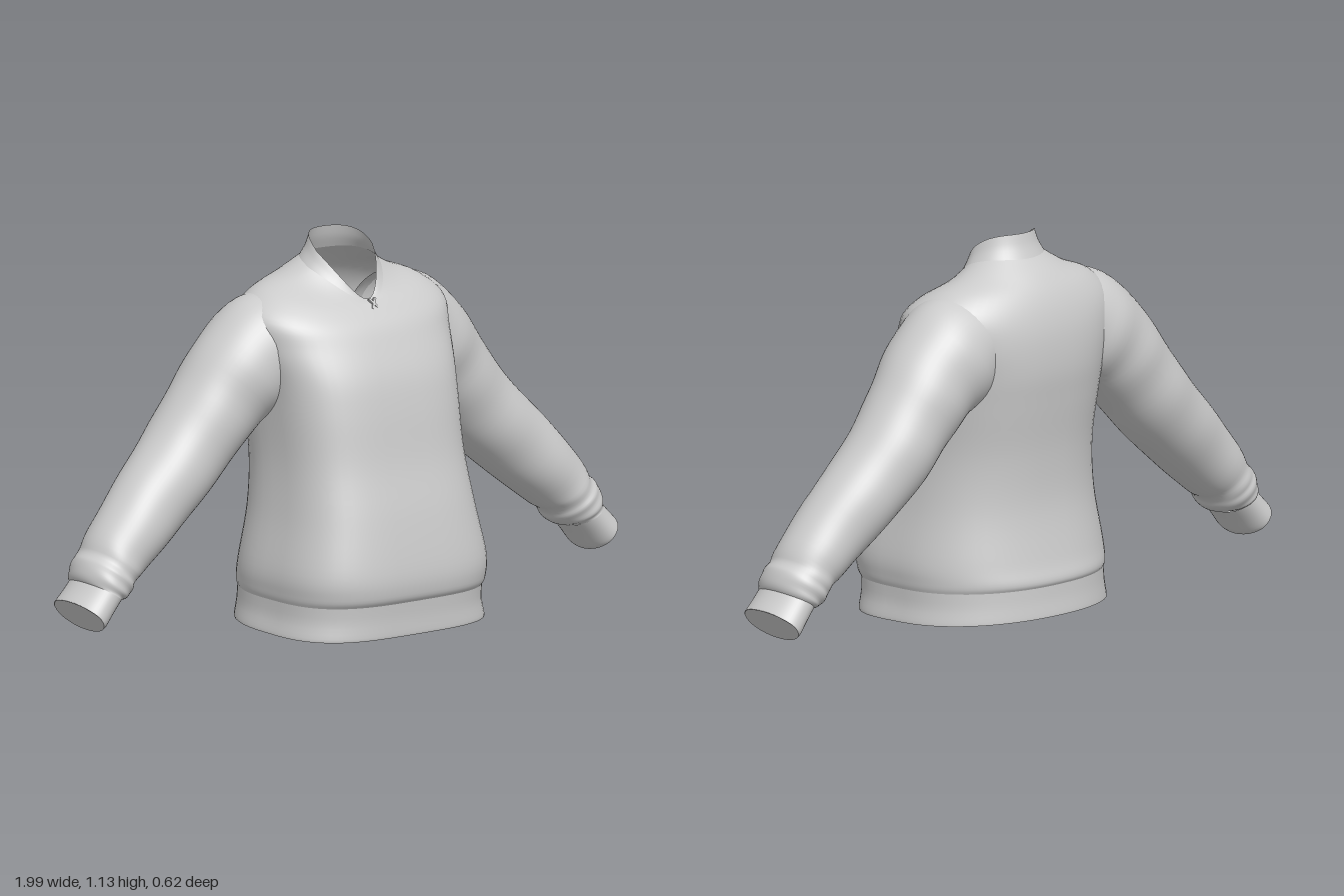
import * as THREE from 'three';

const SEG = 56;
const material = new THREE.MeshStandardMaterial({ color: 0xcccccc, side: THREE.DoubleSide });

// Smoothly resample a list of number rows (Catmull-Rom through every column)
function refine(rows, steps) {
  const out = [];
  const at = (i) => rows[Math.min(Math.max(i, 0), rows.length - 1)];
  for (let i = 0; i < rows.length - 1; i++) {
    for (let k = 0; k < steps; k++) {
      const t = k / steps;
      out.push(rows[i].map((p1, c) => {
        const p0 = at(i - 1)[c], p2 = at(i + 1)[c], p3 = at(i + 2)[c];
        return p1 + 0.5 * t * (p2 - p0 + t * (2 * p0 - 5 * p1 + 4 * p2 - p3 + t * (3 * (p1 - p2) + p3 - p0)));
      }));
    }
  }
  out.push(rows[rows.length - 1]);
  return out;
}

// Skin a stack of closed rings, optionally closing the first one
function loft(name, rings, cap = false) {
  const pos = rings.flat(2), index = [];
  for (let i = 0; i < rings.length - 1; i++) {
    for (let j = 0; j < SEG; j++) {
      const a = i * SEG + j, b = i * SEG + (j + 1) % SEG;
      index.push(a, b, a + SEG, b, b + SEG, a + SEG);
    }
  }
  if (cap) {
    const base = pos.length / 3;
    const centre = [0, 1, 2].map((c) => rings[0].reduce((s, p) => s + p[c], 0) / SEG);
    pos.push(...rings[0].flat(), ...centre);
    for (let j = 0; j < SEG; j++) index.push(base + SEG, base + (j + 1) % SEG, base + j);
  }
  const geometry = new THREE.BufferGeometry();
  geometry.setAttribute('position', new THREE.Float32BufferAttribute(pos, 3));
  geometry.setIndex(index);
  geometry.computeVertexNormals();
  const mesh = new THREE.Mesh(geometry, material);
  mesh.name = name;
  return mesh;
}

// Body ring: heights at front, side and back, half width, front and back z,
// squareness of the front and back halves, and how far the front narrows to a point
function bodyRing([yf, ys, yb, hw, zf, zb, nf, nb, point]) {
  return Array.from({ length: SEG }, (_, j) => {
    const a = (j / SEG) * Math.PI * 2;
    const n = Math.cos(a) > 0 ? nf : nb;
    const bend = (v) => Math.sign(v) * Math.abs(v) ** (2 / n);
    const c = bend(Math.cos(a)), s = bend(Math.sin(a));
    return [
      hw * s * (1 - point * Math.max(0, c)),
      ys + c * (yf - yb) / 2 + c * c * ((yf + yb) / 2 - ys),
      (zf + zb) / 2 + c * (zf - zb) / 2,
    ];
  });
}

// Rings across an arm path; rows are x, y, z, radius in the front plane, radius in z
function armRings(rows, side, wrinkle) {
  return rows.map(([x, y, z, r, rz], i) => {
    const p = rows[Math.max(i - 1, 0)], q = rows[Math.min(i + 1, rows.length - 1)];
    const t = new THREE.Vector2((q[0] - p[0]) * side, q[1] - p[1]).normalize();
    return Array.from({ length: SEG }, (_, j) => {
      const a = (j / SEG) * Math.PI * 2;
      const fold = 1 + wrinkle * Math.sin(i * 1.1 + 2 * Math.sin(a)) * Math.sin(a) ** 2;
      const u = Math.cos(a) * r * fold, v = Math.sin(a) * rz * fold;
      return [x * side - t.y * u, y + t.x * u, z + v];
    });
  });
}

export function createModel() {
  const model = new THREE.Group();
  model.name = 'sweater';

  // Body from the hem seam up over the shoulders to the collar seam
  const body = [
    [0.105, 0.11, 0.12, 0.34, 0.297, -0.302, 3.3, 2.25, 0],
    [0.13, 0.135, 0.14, 0.345, 0.31, -0.308, 3.3, 2.25, 0],
    [0.2, 0.2, 0.2, 0.345, 0.312, -0.292, 3.3, 2.3, 0],
    [0.35, 0.35, 0.35, 0.316, 0.286, -0.266, 3.2, 2.4, 0],
    [0.5, 0.5, 0.5, 0.3, 0.25, -0.268, 3.2, 2.4, 0],
    [0.65, 0.65, 0.65, 0.302, 0.226, -0.287, 3.1, 2.5, 0],
    [0.75, 0.75, 0.75, 0.312, 0.203, -0.299, 2.9, 2.5, 0],
    [0.84, 0.84, 0.84, 0.335, 0.165, -0.297, 2.5, 2.4, 0],
    [0.89, 0.925, 0.91, 0.345, 0.138, -0.284, 2.2, 2.2, 0],
    [0.925, 0.982, 0.97, 0.282, 0.107, -0.26, 2.1, 2.1, 0],
    [0.945, 1.015, 1.02, 0.19, 0.085, -0.225, 2, 2, 0.1],
    [0.95, 1.045, 1.065, 0.128, 0.073, -0.178, 2, 2, 0.25],
  ];
  model.add(loft('body', refine(body, 5).map(bodyRing)));

  // Ribbed hem band, slightly lower in front and closed underneath
  const hem = [
    [0.005, 0.014, 0.03, 0.352, 0.29, -0.309, 3.4, 2.2, 0],
    [0.015, 0.025, 0.04, 0.351, 0.292, -0.309, 3.4, 2.2, 0],
    [0.06, 0.065, 0.08, 0.342, 0.293, -0.304, 3.3, 2.25, 0],
    [0.105, 0.11, 0.12, 0.34, 0.297, -0.302, 3.3, 2.25, 0],
  ];
  model.add(loft('hem', refine(hem, 3).map(bodyRing), true));

  // Standing collar that dips to a V at the front
  const collar = [
    [0.95, 1.045, 1.065, 0.128, 0.073, -0.178, 2, 2, 0.25],
    [0.952, 1.065, 1.1, 0.113, 0.068, -0.162, 2, 2, 0.3],
    [0.955, 1.09, 1.135, 0.102, 0.06, -0.152, 2, 2, 0.32],
  ];
  model.add(loft('collar', refine(collar, 4).map(bodyRing)));

  // Small stitch at the bottom of the V
  for (const turn of [-0.6, 0.6]) {
    const stitch = new THREE.Mesh(new THREE.BoxGeometry(0.007, 0.04, 0.008), material);
    stitch.name = 'neckStitch';
    stitch.position.set(0, 0.945, 0.087);
    stitch.rotation.set(-0.6, 0, turn);
    model.add(stitch);
  }

  // Sleeves run from the cuff seam up into the shoulder
  const sleeve = [
    [0.895, 0.19, -0.085, 0.062, 0.1],
    [0.885, 0.205, -0.087, 0.078, 0.107],
    [0.865, 0.23, -0.09, 0.088, 0.11],
    [0.845, 0.254, -0.092, 0.084, 0.107],
    [0.805, 0.299, -0.095, 0.098, 0.108],
    [0.685, 0.41, -0.107, 0.115, 0.118],
    [0.55, 0.533, -0.122, 0.125, 0.13],
    [0.44, 0.655, -0.122, 0.135, 0.137],
    [0.35, 0.75, -0.113, 0.152, 0.15],
    [0.25, 0.818, -0.107, 0.168, 0.158],
    [0.17, 0.855, -0.105, 0.14, 0.14],
  ];
  // Cuffs are short bands closed at the wrist
  const cuff = [
    [0.953, 0.125, -0.085, 0.062, 0.104],
    [0.948, 0.13, -0.085, 0.064, 0.105],
    [0.92, 0.161, -0.085, 0.062, 0.102],
    [0.89, 0.195, -0.085, 0.062, 0.1],
  ];
  for (const [label, side] of [['left', 1], ['right', -1]]) {
    model.add(loft(label + 'Sleeve', armRings(refine(sleeve, 5), side, 0.018)));
    model.add(loft(label + 'Cuff', armRings(refine(cuff, 3), side, 0), true));
  }
  return model;
}
